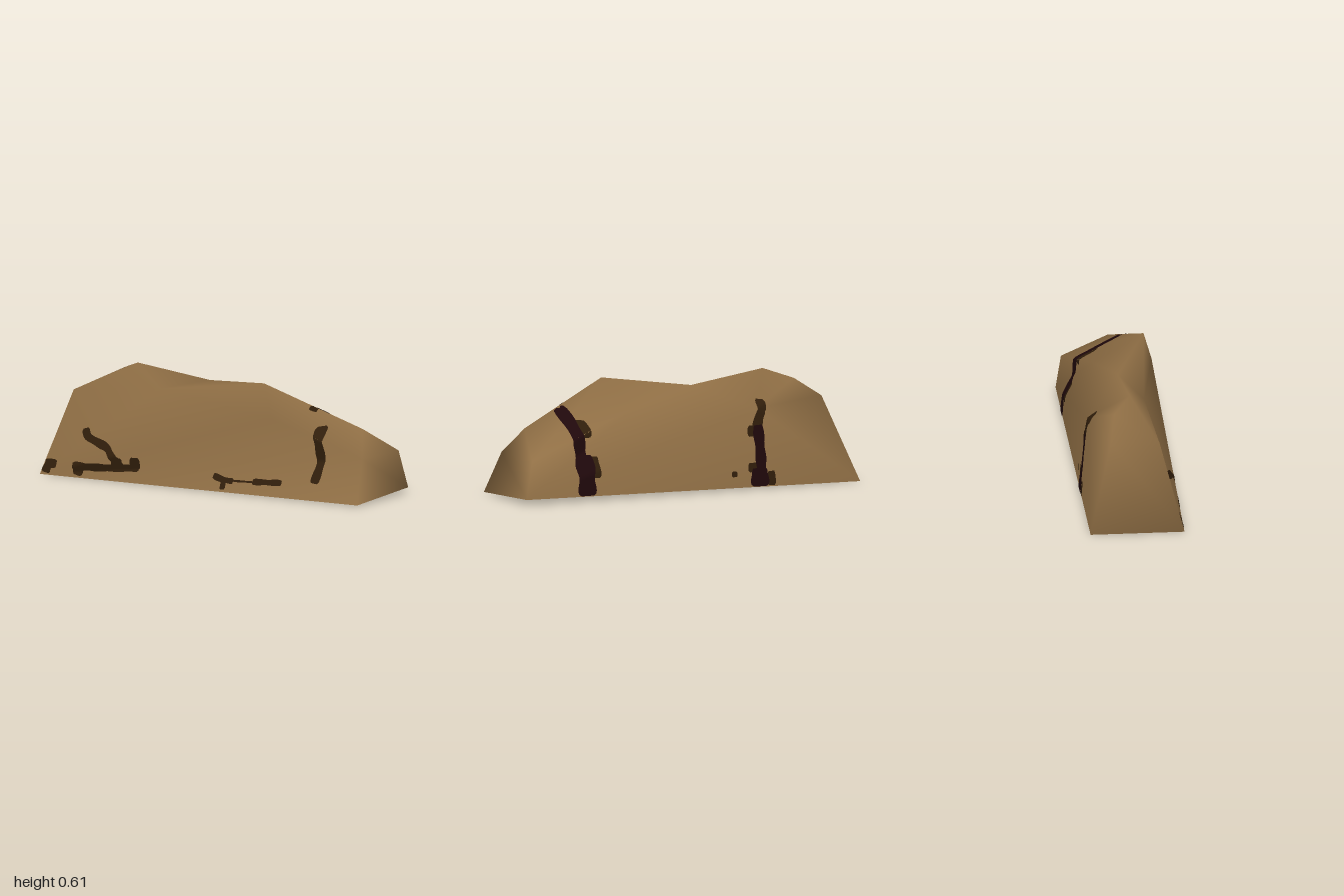
import * as THREE from 'three';
import { mergeVertices } from 'three/addons/utils/BufferGeometryUtils.js';

const mat = (name, color) =>
  new THREE.MeshStandardMaterial({ name, color, side: THREE.DoubleSide });

// Corner points of the rock
const leftFoot = [-1, 0, 0.26], leftHeel = [-1, 0, -0.245];
const rightFoot = [1, 0.005, 0.26], rightHeel = [1, 0.03, -0.26];
const leftFront = [-0.86, 0.455, 0.14], leftBack = [-0.83, 0.46, -0.12];
const peak = [-0.54, 0.61, 0.005], peakBack = [-0.68, 0.56, -0.09];
const shoulder = [-0.34, 0.5, 0.1], saddle = [-0.1, 0.55, -0.02];
const backTop = [-0.4, 0.43, -0.21], backRight = [0.3, 0.46, -0.12];
const brow = [0.43, 0.415, 0.207], crest = [0.35, 0.597, 0.157];
const rightTop = [0.88, 0.375, 0.01];
const rightFront = [0.955, 0.235, 0.137], rightBack = [0.955, 0.23, -0.235];

// Cross-sections from the left end to the right end; each runs
// bottom front, front, front ridge, back ridge, back, bottom back.
const SECTIONS = [
  [leftFoot, leftFoot, leftFoot, leftHeel, leftHeel, leftHeel],
  [leftFoot, leftFront, leftFront, leftBack, leftBack, leftHeel],
  [leftFoot, shoulder, peak, peakBack, backTop, leftHeel],
  [leftFoot, shoulder, saddle, backTop, backTop, leftHeel],
  [leftFoot, brow, crest, backRight, backRight, rightHeel],
  [rightFoot, rightFront, rightTop, rightBack, rightBack, rightHeel],
  [rightFoot, rightFront, rightFront, rightBack, rightBack, rightHeel],
  [rightFoot, rightFoot, rightFoot, rightHeel, rightHeel, rightHeel],
];

// Open-bottomed shell skinned over the sections, with smooth normals;
// triangles that collapse where sections share a corner are left out
function rockGeometry() {
  const points = SECTIONS.flat();
  const rows = SECTIONS[0].length;
  const index = [];
  const tri = (...t) => {
    if (new Set(t.map((k) => points[k])).size === 3) index.push(...t);
  };
  for (let i = 0; i < SECTIONS.length - 1; i++) {
    for (let j = 0; j < rows - 1; j++) {
      const a = i * rows + j, b = a + rows;
      tri(a, b, b + 1);
      tri(a, b + 1, a + 1);
    }
  }
  let geo = new THREE.BufferGeometry();
  geo.setAttribute('position', new THREE.Float32BufferAttribute(points.flat(), 3));
  geo.setIndex(index);
  geo = mergeVertices(geo);
  geo.computeVertexNormals();
  return geo;
}

// Ribbon along an (x, y) path, draped on the shell from the front or the back
function drape(rock, path, width, side, lift) {
  const ray = new THREE.Raycaster();
  const curve = new THREE.CatmullRomCurve3(path.map(([x, y]) => new THREE.Vector3(x, y, 0)));
  const steps = Math.max(6, Math.ceil(curve.getLength() / 0.012));
  const across = 4;
  const pos = [], index = [], last = [];
  for (let i = 0; i <= steps; i++) {
    const p = curve.getPointAt(i / steps), t = curve.getTangentAt(i / steps);
    const taper = i === 0 || i === steps ? 0.75 : 1 + 0.1 * Math.sin(i * 0.6);
    for (let k = 0; k <= across; k++) {
      const off = (k / across - 0.5) * width * taper;
      ray.set(new THREE.Vector3(p.x - t.y * off, p.y + t.x * off, side * 2), new THREE.Vector3(0, 0, -side));
      const hit = ray.intersectObject(rock)[0];
      if (hit && hit.point.z * side > -0.16) {
        last[k] = hit.point.clone().addScaledVector(hit.face.normal, lift);
      } else if (!last[k]) {
        last[k] = (last[k - 1] || new THREE.Vector3(p.x, p.y, side * 0.2)).clone();
      }
      pos.push(...last[k].toArray());
      if (i < steps && k < across) {
        const a = i * (across + 1) + k, b = a + across + 1;
        index.push(a, b, b + 1, a, b + 1, a + 1);
      }
    }
  }
  const geo = new THREE.BufferGeometry();
  geo.setAttribute('position', new THREE.Float32BufferAttribute(pos, 3));
  geo.setIndex(index);
  geo.computeVertexNormals();
  return geo;
}

export function createModel() {
  const model = new THREE.Group();
  model.name = 'rock';
  const stone = mat('stone brown', 0x906f45);
  const crack = mat('crack brown', 0x301e0b);
  const vein = mat('vein maroon', 0x1f080b);

  const shell = new THREE.Mesh(rockGeometry(), stone);
  shell.name = 'rockShell';
  shell.updateMatrixWorld(true);
  model.add(shell);

  // Surface marks: [path, width]
  const frontCracks = [
    [[[-0.965, 0.012], [-0.96, 0.055]], 0.05],
    [[[-0.975, 0.06], [-0.905, 0.06]], 0.045],
    [[[-0.755, 0.26], [-0.74, 0.22], [-0.66, 0.19], [-0.6, 0.17], [-0.56, 0.13], [-0.5, 0.08]], 0.042],
    [[[-0.8, 0.06], [-0.6, 0.065], [-0.4, 0.08]], 0.042],
    [[[-0.42, 0.07], [-0.42, 0.135]], 0.055],
    [[[-0.77, 0.012], [-0.76, 0.06]], 0.055],
    [[[-0.53, 0.07], [-0.53, 0.125]], 0.06],
    [[[0.07, 0.08], [0.13, 0.065], [0.2, 0.06]], 0.03],
    [[[0.145, 0.014], [0.14, 0.06]], 0.03],
    [[[0.2, 0.063], [0.33, 0.066]], 0.01],
    [[[0.32, 0.068], [0.5, 0.076]], 0.03],
    [[[0.7, 0.09], [0.71, 0.2], [0.7, 0.3], [0.685, 0.385]], 0.052],
    [[[0.6, 0.478], [0.64, 0.465]], 0.022],
  ];
  const backVeins = [
    [[[0.64, 0.028], [0.64, 0.15], [0.65, 0.3], [0.65, 0.4], [0.65, 0.472]], 0.07],
    [[[0.635, 0.028], [0.635, 0.1], [0.63, 0.24]], 0.1],
    [[[-0.41, 0.012], [-0.41, 0.15], [-0.4, 0.34]], 0.06],
    [[[-0.4, 0.012], [-0.4, 0.11]], 0.1],
  ];
  const backCracks = [
    [[[0.575, 0.12], [0.575, 0.23]], 0.05],
    [[[0.6, 0.33], [0.595, 0.41]], 0.055],
    [[[-0.39, 0.31], [-0.41, 0.38], [-0.43, 0.42]], 0.055],
    [[[-0.43, 0.41], [-0.435, 0.47]], 0.05],
    [[[-0.37, 0.28], [-0.37, 0.34]], 0.06],
    [[[-0.36, 0.09], [-0.36, 0.14]], 0.05],
    [[[-0.47, 0.014], [-0.47, 0.09]], 0.045],
    [[[-0.25, 0.07], [-0.25, 0.1]], 0.03],
  ];

  // Each mark shows on the outer and the inner face of the thin shell
  const addMarks = (name, marks, material, side, lift) => {
    const group = new THREE.Group();
    group.name = name;
    for (const [path, width] of marks) {
      for (const l of [lift, -lift]) {
        const mesh = new THREE.Mesh(drape(shell, path, width, side, l), material);
        mesh.name = l > 0 ? 'outerMark' : 'innerMark';
        group.add(mesh);
      }
    }
    model.add(group);
  };
  addMarks('frontCracks', frontCracks, crack, 1, 0.0025);
  addMarks('backCracks', backCracks, crack, -1, 0.0025);
  addMarks('backVeins', backVeins, vein, -1, 0.004);
  return model;
}
